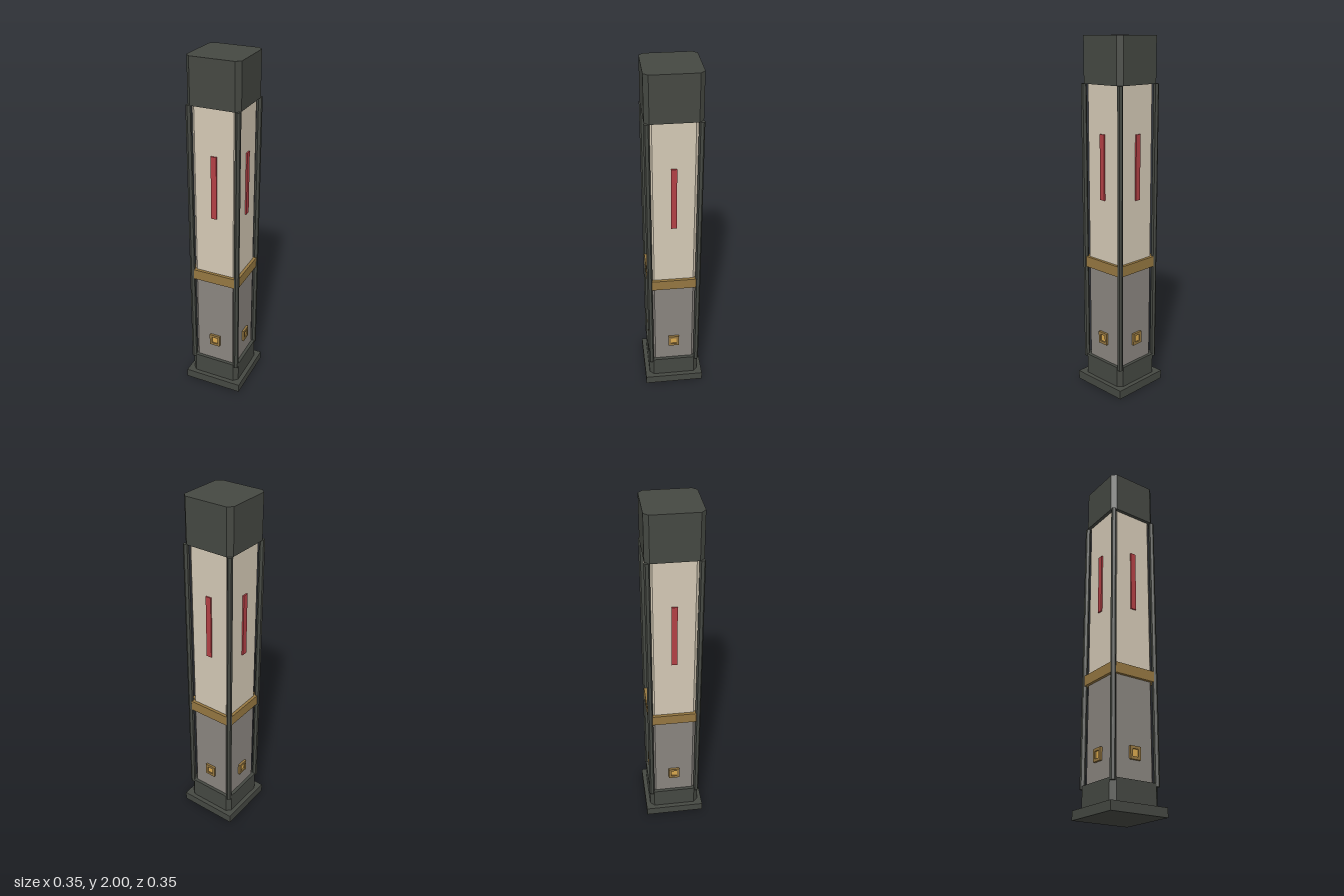
import * as THREE from 'three';

const paint = (color) => new THREE.MeshStandardMaterial({ color, flatShading: true });

export function createModel() {
  const model = new THREE.Group();
  model.name = 'pillar';
  const dark = paint(0x454842);
  const cream = paint(0xd4c9b5);
  const grey = paint(0x8a857f);
  const bronze = paint(0x957741);
  const red = paint(0xb34045);
  const amber = paint(0xd9a84e);

  function add(parent, name, geometry, material, x = 0, y = 0, z = 0) {
    const mesh = new THREE.Mesh(geometry, material);
    mesh.name = name;
    mesh.position.set(x, y, z);
    parent.add(mesh);
  }

  // Square block with chamfered vertical edges, between two heights
  function block(name, half, chamfer, bottom, top, material) {
    const a = half, b = half - chamfer;
    const outline = [[a, -b], [a, b], [b, a], [-b, a], [-a, b], [-a, -b], [-b, -a], [b, -a]];
    const shape = new THREE.Shape(outline.map(([x, y]) => new THREE.Vector2(x, y)));
    const geometry = new THREE.ExtrudeGeometry(shape, { depth: top - bottom, bevelEnabled: false });
    geometry.rotateX(-Math.PI / 2);
    add(model, name, geometry, material, 0, bottom, 0);
  }

  // Stacked core, from foot to cap
  add(model, 'footSlab', new THREE.BoxGeometry(0.348, 0.05, 0.348), dark, 0, 0.025, 0);
  block('plinth', 0.1485, 0.025, 0.05, 0.17, dark);
  block('lowerShaft', 0.13, 0.019, 0.17, 0.72, grey);
  block('band', 0.147, 0.022, 0.72, 0.78, bronze);
  block('upperShaft', 0.13, 0.019, 0.78, 1.75, cream);
  block('cap', 0.1485, 0.025, 1.75, 2, dark);

  // Hexagonal corner posts
  const post = new THREE.CylinderGeometry(0.0155, 0.0155, 1.595, 6);
  for (const x of [-1, 1]) {
    for (const z of [-1, 1]) add(model, 'cornerPost', post, dark, x * 0.137, 0.9525, z * 0.137);
  }

  // Square lamp frame with an opening
  const frame = new THREE.Shape();
  frame.moveTo(-0.032, -0.035).lineTo(0.032, -0.035).lineTo(0.032, 0.035).lineTo(-0.032, 0.035).closePath();
  const opening = new THREE.Path();
  opening.moveTo(-0.018, -0.02).lineTo(-0.018, 0.02).lineTo(0.018, 0.02).lineTo(0.018, -0.02).closePath();
  frame.holes.push(opening);
  const frameGeometry = new THREE.ExtrudeGeometry(frame, { depth: 0.015, bevelEnabled: false });

  // Stripe and lamp on each of the four faces
  for (let i = 0; i < 4; i++) {
    const face = new THREE.Group();
    face.name = 'faceTrim';
    face.rotation.y = i * Math.PI / 2;
    add(face, 'stripe', new THREE.BoxGeometry(0.032, 0.36, 0.012), red, 0, 1.31, 0.132);
    add(face, 'lampFrame', frameGeometry, bronze, 0, 0.31, 0.128);
    add(face, 'lamp', new THREE.BoxGeometry(0.036, 0.04, 0.012), amber, 0, 0.31, 0.13);
    model.add(face);
  }
  return model;
}
